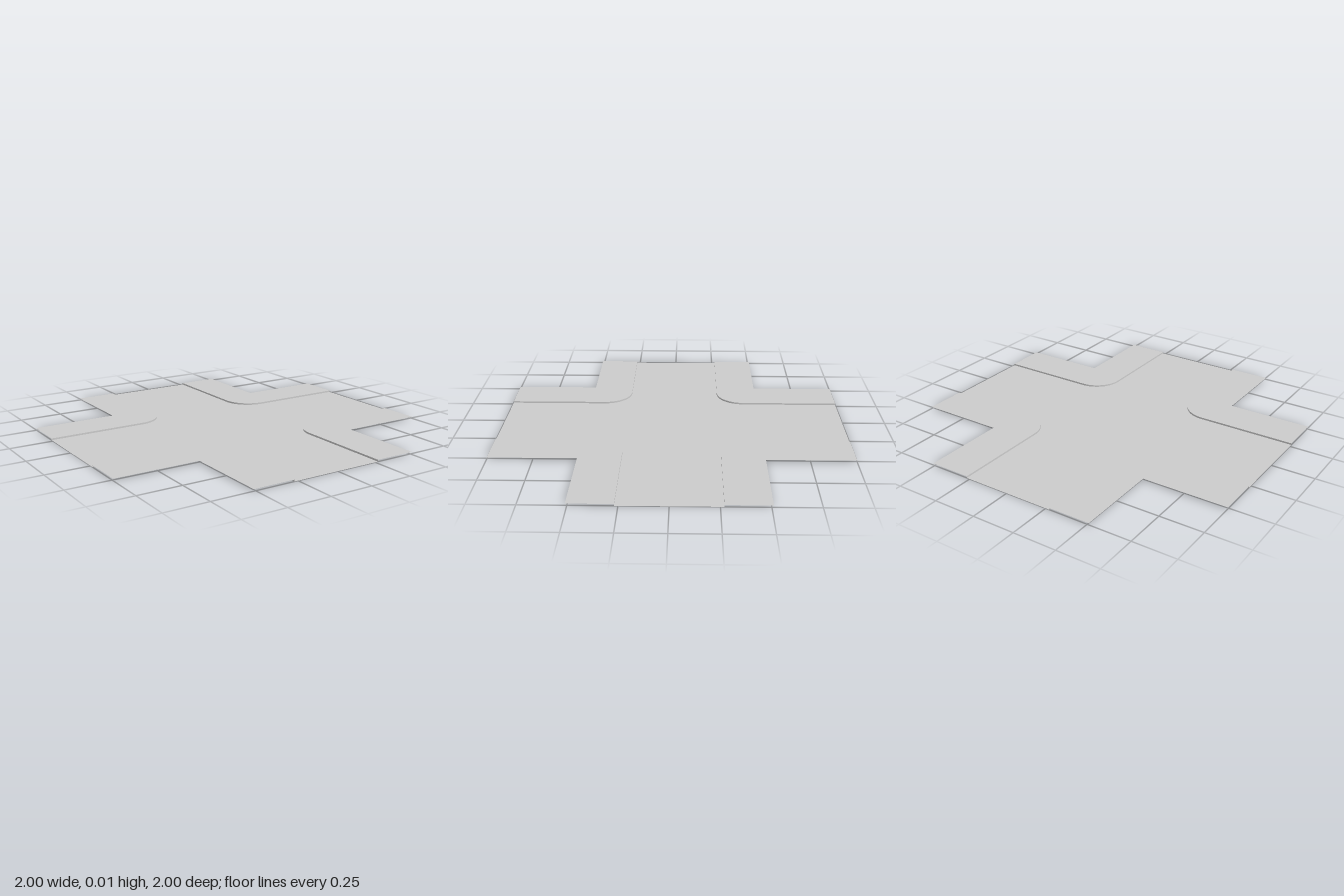
import * as THREE from 'three';

const CURB = 0.27;   // half width of the road
const ARM = 0.51;    // half width of road plus pavements
const RADIUS = 0.16; // rounding of the pavement corner
const HEIGHT = 0.01; // height of the curb

const material = new THREE.MeshStandardMaterial({ color: 0xcccccc, side: THREE.DoubleSide });

// Flat sheet from an outline of [x, -z] points, lying at height y
function sheet(name, points, y) {
  const geometry = new THREE.ShapeGeometry(new THREE.Shape(points));
  geometry.rotateX(-Math.PI / 2).translate(0, y, 0);
  const mesh = new THREE.Mesh(geometry, material);
  mesh.name = name;
  return mesh;
}

// Curb line of one quadrant: straight, rounded corner, straight
function curbLine(segments = 16) {
  const c = CURB + RADIUS;
  const points = [new THREE.Vector2(CURB, 1)];
  for (let i = 0; i <= segments; i++) {
    const a = Math.PI + (i / segments) * Math.PI / 2;
    points.push(new THREE.Vector2(c + RADIUS * Math.cos(a), c + RADIUS * Math.sin(a)));
  }
  points.push(new THREE.Vector2(1, CURB));
  return points;
}

// Upright curb face following the line, facing the road
function curbFace(line) {
  const positions = [], normals = [], index = [];
  const c = CURB + RADIUS;
  line.forEach((p, i) => {
    const n = new THREE.Vector2(Math.min(p.x - c, 0), Math.min(p.y - c, 0)).normalize();
    for (const y of [0, HEIGHT]) {
      positions.push(p.x, y, -p.y);
      normals.push(n.x, 0, -n.y);
    }
    if (i > 0) {
      const a = 2 * (i - 1);
      index.push(a, a + 2, a + 1, a + 1, a + 2, a + 3);
    }
  });
  const geometry = new THREE.BufferGeometry();
  geometry.setAttribute('position', new THREE.Float32BufferAttribute(positions, 3));
  geometry.setAttribute('normal', new THREE.Float32BufferAttribute(normals, 3));
  geometry.setIndex(index);
  const mesh = new THREE.Mesh(geometry, material);
  mesh.name = 'curbFace';
  return mesh;
}

export function createModel() {
  const model = new THREE.Group();
  model.name = 'crossroads';

  // Road: a cross whose inner corners are cut diagonally beneath the pavements
  const corner = [[1, CURB], [ARM, CURB], [CURB, ARM], [CURB, 1]];
  const outline = [];
  for (let q = 0; q < 4; q++) {
    for (const [x, y] of corner) {
      outline.push(new THREE.Vector2(x, y).rotateAround(new THREE.Vector2(), q * Math.PI / 2));
    }
  }
  model.add(sheet('road', outline, 0));

  // Four raised L-shaped pavements with curbs
  const line = curbLine();
  const pavementOutline = [
    ...line,
    new THREE.Vector2(1, ARM),
    new THREE.Vector2(ARM, ARM),
    new THREE.Vector2(ARM, 1),
  ];
  for (let q = 0; q < 4; q++) {
    const pavement = new THREE.Group();
    pavement.name = 'pavement' + (q + 1);
    pavement.add(sheet('pavementTop', pavementOutline, HEIGHT), curbFace(line));
    pavement.rotation.y = q * Math.PI / 2;
    model.add(pavement);
  }
  return model;
}
